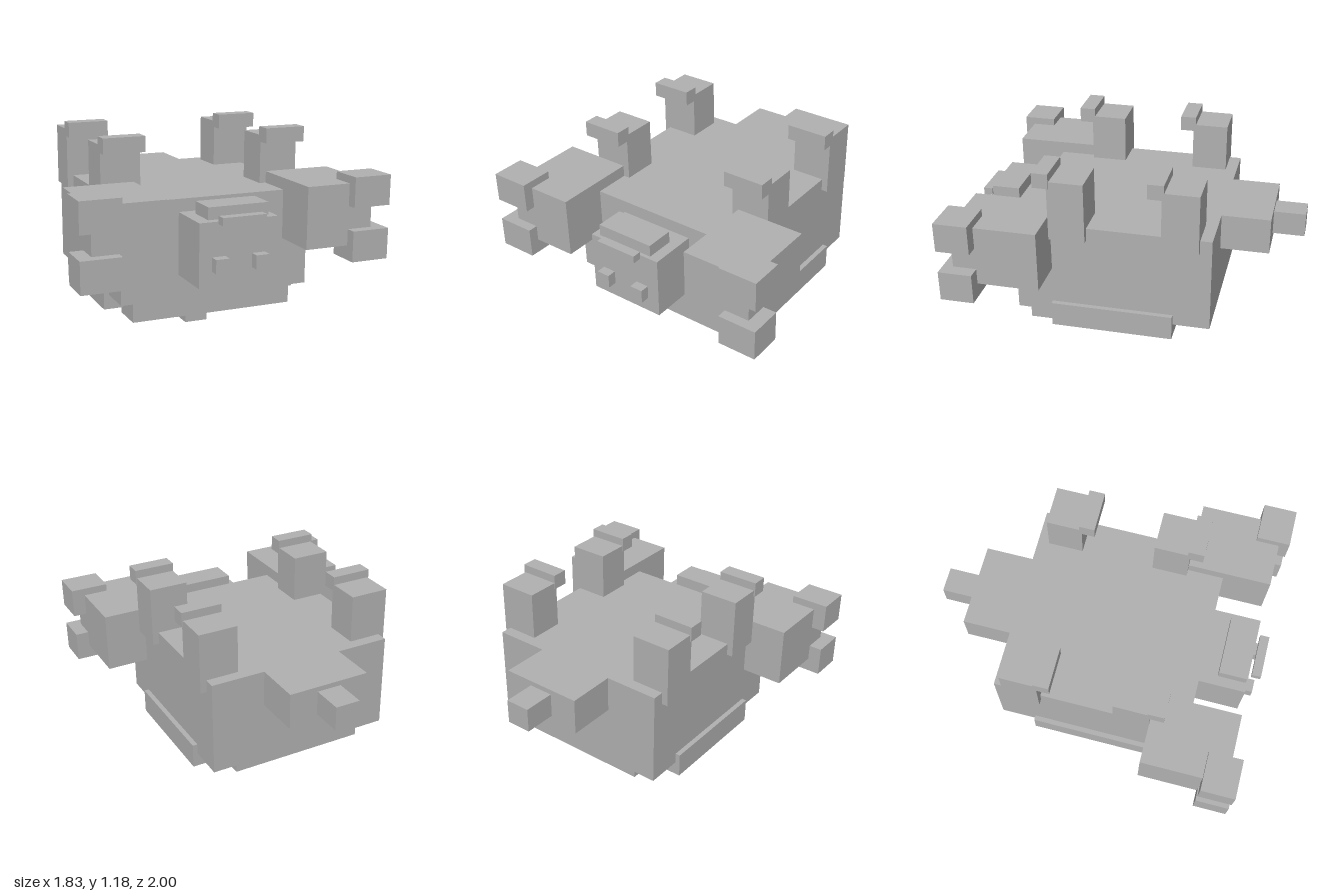
import * as THREE from 'three';

export function createModel() {
  const model = new THREE.Group();
  const grey = new THREE.MeshStandardMaterial({ color: 0xb0b0b0 });
  grey.name = 'plain grey';

  // Box given by its [min, max] range on each axis
  function box(name, [x0, x1], [y0, y1], [z0, z1]) {
    const mesh = new THREE.Mesh(new THREE.BoxGeometry(x1 - x0, y1 - y0, z1 - z0), grey);
    mesh.position.set((x0 + x1) / 2, (y0 + y1) / 2, (z0 + z1) / 2);
    mesh.name = name;
    model.add(mesh);
  }
  // The same box on the left (+x) and mirrored on the right
  function pair(name, [x0, x1], y, z) {
    box(name + 'Left', [x0, x1], y, z);
    box(name + 'Right', [-x1, -x0], y, z);
  }

  // Body and tail
  box('body', [-0.58, 0.58], [0.26, 0.84], [-0.52, 0.645]);
  box('tailBase', [-0.25, 0.25], [0.62, 0.84], [-0.81, -0.52]);
  box('tailTip', [-0.075, 0.075], [0.665, 0.81], [-1, -0.81]);

  // Head with brow, crest and eyes
  box('head', [-0.235, 0.235], [0.4, 0.765], [0.645, 0.93]);
  box('brow', [-0.18, 0.18], [0.775, 0.845], [0.75, 0.92]);
  box('crest', [-0.13, 0.13], [0.755, 0.8], [0.945, 1]);
  pair('eye', [0.08, 0.16], [0.49, 0.57], [0.92, 0.985]);

  // Arms, each with two claws
  pair('arm', [0.42, 0.835], [0.55, 0.91], [0.425, 0.93]);
  pair('upperClaw', [0.685, 0.915], [0.78, 0.955], [0.79, 0.99]);
  pair('lowerClaw', [0.685, 0.915], [0.465, 0.645], [0.79, 0.99]);

  // Four back posts with caps hooked forward
  for (const [name, z] of [['front', 0.425], ['rear', -0.235]]) {
    pair(name + 'Post', [0.38, 0.617], [0.765, 1.13], [z - 0.215, z]);
    pair(name + 'PostCap', [0.377, 0.625], [1.09, 1.18], [z - 0.015, z + 0.08]);
  }

  // Skirt around the underside
  pair('sideSkirt', [0.43, 0.61], [0.175, 0.325], [-0.3, 0.43]);
  box('frontSkirt', [-0.495, 0.495], [0.135, 0.27], [0.4, 0.6]);
  box('backSkirt', [-0.42, 0.42], [0.19, 0.27], [-0.49, -0.3]);

  // Feet
  box('frontFoot', [-0.07, 0.07], [0, 0.175], [0.14, 0.355]);
  box('backFoot', [-0.07, 0.07], [0.04, 0.175], [-0.3, -0.08]);
  pair('sideFoot', [0.14, 0.29], [0.115, 0.26], [-0.11, 0.08]);
  box('frontFootStem', [-0.07, 0.07], [0.175, 0.26], [0.14, 0.355]);
  box('backFootStem', [-0.07, 0.07], [0.175, 0.26], [-0.3, -0.08]);

  return model;
}
